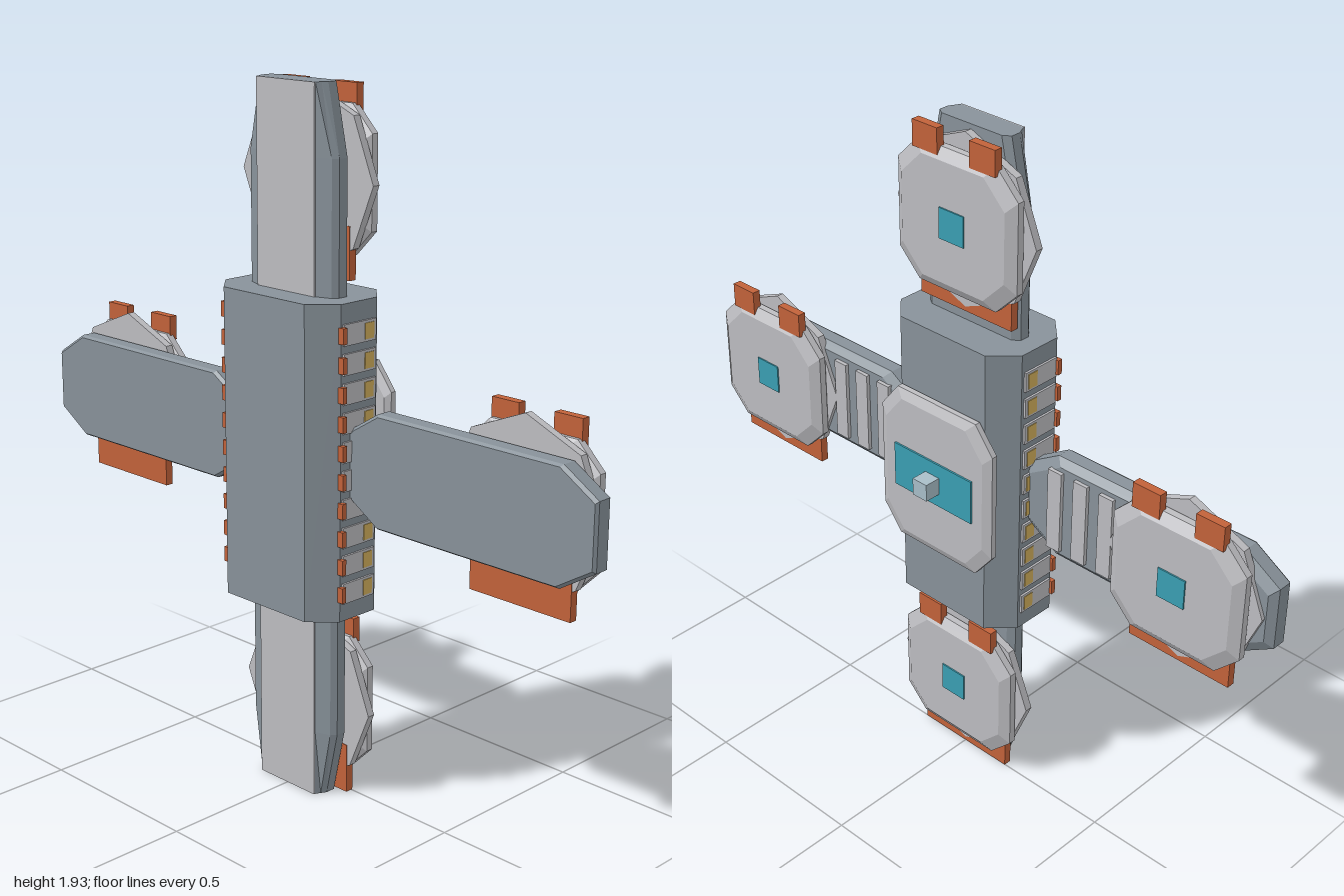
import * as THREE from 'three';

const mat = (name, color, flat = true) => {
  const m = new THREE.MeshStandardMaterial({ color });
  m.name = name;
  m.flatShading = flat;
  return m;
};

// Octagon outline (counter-clockwise): half sizes w, h with corner cuts cx, cy
const oct = (w, h, cx, cy = cx, ox = 0, oy = 0) => [
  [w, -h + cy], [w, h - cy], [w - cx, h], [-w + cx, h],
  [-w, h - cy], [-w, -h + cy], [-w + cx, -h], [w - cx, -h],
].map(([x, y]) => [x + ox, y + oy]);

// Joins convex outlines [z, points], ordered by rising z, and caps both ends
function loft(layers) {
  const pos = [];
  const tri = (...pts) => pts.forEach((p) => pos.push(...p));
  const rings = layers.map(([z, pts]) => pts.map(([x, y]) => [x, y, z]));
  const n = rings[0].length;
  for (let k = 0; k < rings.length - 1; k++) {
    const a = rings[k], b = rings[k + 1];
    for (let i = 0; i < n; i++) {
      const j = (i + 1) % n;
      tri(a[i], a[j], b[j]);
      tri(a[i], b[j], b[i]);
    }
  }
  const lo = rings[0], hi = rings[rings.length - 1];
  for (let i = 1; i < n - 1; i++) {
    tri(hi[0], hi[i], hi[i + 1]);
    tri(lo[0], lo[i + 1], lo[i]);
  }
  const g = new THREE.BufferGeometry();
  g.setAttribute('position', new THREE.Float32BufferAttribute(pos, 3));
  g.computeVertexNormals();
  return g;
}

export function createModel() {
  const hull = mat('hull blue grey', 0x88929a);
  const light = mat('light grey', 0xbdbdc1);
  const orange = mat('rust orange', 0xc2623a);
  const teal = mat('teal', 0x3a9fb3);
  const amber = mat('amber window', 0xd2b05c);
  const pale = mat('pale blue', 0xa9bec8);

  const root = new THREE.Group();
  root.name = 'station';
  const add = (parent, name, geo, material, x = 0, y = 0, z = 0) => {
    const m = new THREE.Mesh(geo, material);
    m.name = name;
    m.position.set(x, y, z);
    parent.add(m);
    return m;
  };
  // Box given by its min and max on each axis
  const box = (parent, name, material, x0, x1, y0, y1, z0, z1) =>
    add(parent, name, new THREE.BoxGeometry(x1 - x0, y1 - y0, z1 - z0), material,
      (x0 + x1) / 2, (y0 + y1) / 2, (z0 + z1) / 2);

  // Core: octagonal upright prism
  const coreOutline = oct(0.215, 0.13, 0.065, 0.065, 0, -0.043);
  add(root, 'core', loft([[0.545, coreOutline], [1.395, coreOutline]]), hull).rotation.x = -Math.PI / 2;

  // Window rows and orange markers along both flanks
  for (const s of [-1, 1]) {
    const flank = new THREE.Group();
    flank.name = s > 0 ? 'leftFlank' : 'rightFlank';
    root.add(flank);
    for (let i = 0; i < 10; i++) {
      const y = 0.622 + i * 0.077;
      const side = (name, m, d, h, w, z, x) =>
        add(flank, name, new THREE.BoxGeometry(d, h, w), m, s * x, y, z);
      side('windowPanel', light, 0.01, 0.056, 0.115, 0.044, 0.216);
      side('window', amber, 0.006, 0.042, 0.032, 0.012, 0.22);
      side('marker', orange, 0.018, 0.042, 0.014, 0.106, 0.22);
    }
  }

  // Side arms, bevelled towards the back, with ribs
  for (const s of [-1, 1]) {
    const arm = new THREE.Group();
    arm.name = s > 0 ? 'leftArm' : 'rightArm';
    root.add(arm);
    const ring = (inset) => oct(0.4 - inset, 0.153 - inset, 0.105, 0.065, s * 0.6, 0.968);
    add(arm, 'armHull', loft([[0.008, ring(0.02)], [0.025, ring(0)], [0.064, ring(0)], [0.073, ring(0.006)]]), hull);
    for (const x of [0.315, 0.4, 0.485]) {
      add(arm, 'rib', new THREE.BoxGeometry(0.045, 0.24, 0.016), light, s * x, 0.968, 0.005);
    }
  }

  // Upper and lower arms: tapered ends, sloped edges and a light front plate
  for (const s of [-1, 1]) {
    const arm = new THREE.Group();
    arm.name = s > 0 ? 'upperArm' : 'lowerArm';
    root.add(arm);
    const yAt = (d) => 0.967 + s * d;
    const ring = (w, tip) => {
      const p = [[w, 0.4], [w, 0.78], [tip, 0.966], [-tip, 0.966], [-w, 0.78], [-w, 0.4]]
        .map(([x, d]) => [x, yAt(d)]);
      return s > 0 ? p : p.reverse();
    };
    add(arm, 'armHull', loft([
      [0.018, ring(0.14, 0.1)], [0.032, ring(0.16, 0.12)],
      [0.06, ring(0.16, 0.12)], [0.075, ring(0.148, 0.112)], [0.09, ring(0.105, 0.105)],
    ]), hull);
    box(arm, 'frontPlate', light, -0.105, 0.105, Math.min(yAt(0.4), yAt(0.966)),
      Math.max(yAt(0.4), yAt(0.966)), 0.087, 0.094);
  }

  // Pods on the back of each arm
  const podRing = (i) => oct(0.203 - i, 0.193 - i, 0.07);
  const podGeo = loft([[-0.05, podRing(0.028)], [-0.032, podRing(0)], [-0.012, podRing(0)], [0.002, podRing(0.015)]]);
  const baseGeo = new THREE.CylinderGeometry(0.237, 0.237, 0.022, 8).rotateX(Math.PI / 2);
  const pods = [['upperPod', 0, 1.683], ['lowerPod', 0, 0.252], ['leftPod', 0.74, 0.967], ['rightPod', -0.74, 0.967]];
  for (const [name, x, y] of pods) {
    const pod = new THREE.Group();
    pod.name = name;
    pod.position.set(x, y, 0);
    root.add(pod);
    add(pod, 'podBase', baseGeo, light, 0, 0, 0.008);
    add(pod, 'podShell', podGeo, light);
    box(pod, 'podWindow', teal, -0.042, 0.042, -0.042, 0.042, -0.054, -0.047);
    box(pod, 'bottomBar', orange, -0.158, 0.158, -0.25, -0.11, -0.002, 0.021);
    for (const s of [-1, 1]) {
      add(pod, 'topTab', new THREE.BoxGeometry(0.085, 0.07, 0.024), orange, s * 0.096, 0.208, -0.034);
    }
  }

  // Rear hatch with its screen and docking cube
  const hatch = new THREE.Group();
  hatch.name = 'rearHatch';
  hatch.position.set(0, 0.97, 0);
  root.add(hatch);
  const hatchRing = (i) => oct(0.2 - i, 0.232 - i, 0.06, 0.075);
  add(hatch, 'hatchShell', loft([[-0.123, hatchRing(0.025)], [-0.111, hatchRing(0)],
    [-0.095, hatchRing(0)], [-0.084, hatchRing(0.015)]]), light);
  box(hatch, 'hatchScreen', teal, -0.14, 0.14, -0.065, 0.065, -0.128, -0.12);
  box(hatch, 'dockingCube', pale, -0.025, 0.025, -0.025, 0.025, -0.175, -0.125);

  return root;
}
